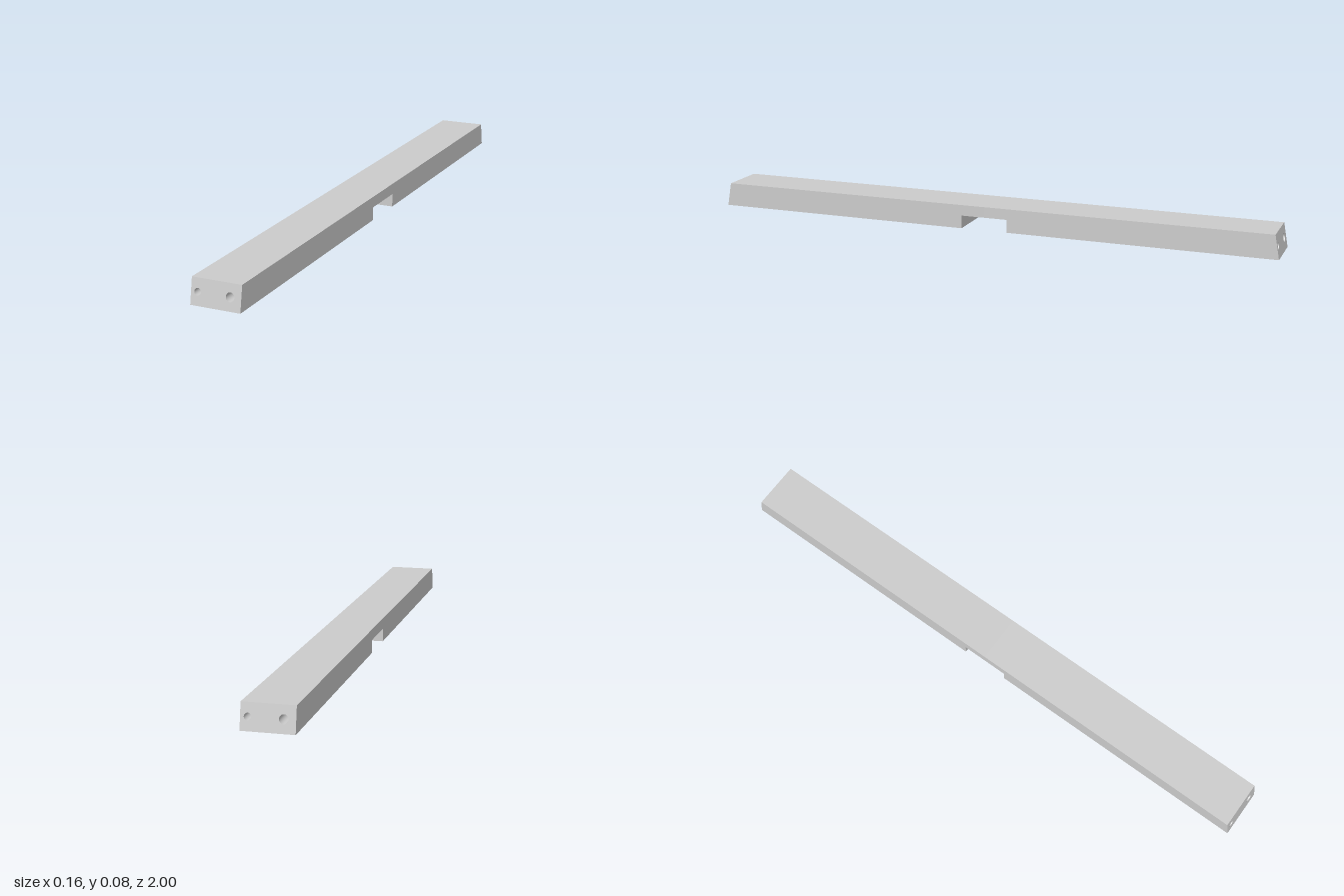
import * as THREE from 'three';

const W = 0.082, H = 0.082;              // half width, height
const NOTCH_Z = 0.082, NOTCH_Y = 0.045;  // half-lap notch under the middle
const HOLE_Y = 0.041;
const PIN = { x: -0.06, r: 0.011, z: 0.9 };            // blind pin hole in the end
const BOLT = { x: 0.046, r: 0.014 };                   // bolt hole in the end
const POCKET = { x: 0.046, z: 0.88, r: 0.025, h: 0.064 }; // nut pocket from below
const SEG = 48;
const endZ = (y) => 1 - 0.015 * y / H;   // sloping end

const material = new THREE.MeshStandardMaterial({ color: 0xcccccc, side: THREE.DoubleSide });

function mesh(name, geometry) {
  const m = new THREE.Mesh(geometry, material);
  m.name = name;
  return m;
}

// Flat face: a 2D shape placed in space by a rule
function panel(name, shape, place) {
  const g = new THREE.ShapeGeometry(shape, SEG / 2);
  const p = g.attributes.position;
  for (let i = 0; i < p.count; i++) p.setXYZ(i, ...place(p.getX(i), p.getY(i)));
  g.computeVertexNormals();
  return mesh(name, g);
}

// Curved face: a grid of points given by a rule of two parameters in 0..1
function surface(name, rule, ns, nt) {
  const pos = [], index = [];
  for (let j = 0; j <= nt; j++)
    for (let i = 0; i <= ns; i++) pos.push(...rule(i / ns, j / nt));
  for (let j = 0; j < nt; j++)
    for (let i = 0; i < ns; i++) {
      const a = j * (ns + 1) + i, b = a + ns + 1;
      index.push(a, b, a + 1, a + 1, b, b + 1);
    }
  const g = new THREE.BufferGeometry();
  g.setAttribute('position', new THREE.Float32BufferAttribute(pos, 3));
  g.setIndex(index);
  g.computeVertexNormals();
  return mesh(name, g);
}

const polygon = (pts) => new THREE.Shape(pts.map(([x, y]) => new THREE.Vector2(x, y)));
const rect = (x0, y0, x1, y1) => polygon([[x0, y0], [x1, y0], [x1, y1], [x0, y1]]);
const disc = (x, y, r, Type = THREE.Shape) => new Type().absarc(x, y, r, 0, Math.PI * 2);

function createHalf() {
  const half = new THREE.Group();
  half.name = 'beamHalf';

  // Side profile from the middle to the sloping end
  const profile = [[0, NOTCH_Y], [NOTCH_Z, NOTCH_Y], [NOTCH_Z, 0], [1, 0], [endZ(H), H], [0, H]];
  const bottom = rect(-W, NOTCH_Z, W, 1);
  bottom.holes.push(disc(POCKET.x, POCKET.z, POCKET.r, THREE.Path));
  const end = rect(-W, 0, W, H);
  for (const h of [PIN, BOLT]) end.holes.push(disc(h.x, HOLE_Y, h.r, THREE.Path));

  half.add(
    panel('rightSide', polygon(profile), (z, y) => [-W, y, z]),
    panel('leftSide', polygon(profile.map(([z, y]) => [-z, y])), (u, y) => [W, y, -u]),
    panel('topFace', rect(0, -W, endZ(H), W), (z, x) => [x, H, z]),
    panel('bottomFace', bottom, (x, z) => [x, 0, z]),
    panel('notchCeiling', rect(-W, 0, W, NOTCH_Z), (x, z) => [x, NOTCH_Y, z]),
    panel('notchWall', rect(0, -W, NOTCH_Y, W), (y, x) => [x, y, NOTCH_Z]),
    panel('endFace', end, (x, y) => [x, y, endZ(y)])
  );

  // Bores running in from the end
  const bore = (name, hole, innerZ) => surface(name, (s, t) => {
    const a = s * Math.PI * 2, dx = hole.r * Math.cos(a), y = HOLE_Y + hole.r * Math.sin(a);
    return [hole.x + dx, y, THREE.MathUtils.lerp(endZ(y), innerZ(dx), t)];
  }, SEG, 1);
  half.add(
    bore('pinHole', PIN, () => PIN.z),
    panel('pinHoleFloor', disc(PIN.x, HOLE_Y, PIN.r), (x, y) => [x, y, PIN.z]),
    bore('boltHole', BOLT, (dx) => POCKET.z + Math.sqrt(POCKET.r ** 2 - dx ** 2))
  );

  // Nut pocket: plain inner wall, and an outer wall opened by the bolt hole
  const onPocket = (phi, y) =>
    [POCKET.x + POCKET.r * Math.sin(phi), y, POCKET.z + POCKET.r * Math.cos(phi)];
  half.add(
    surface('pocketInnerWall', (s, t) =>
      onPocket(Math.PI * (1.5 - s), POCKET.h * t), SEG / 2, 1),
    surface('pocketOuterWall', (s, t) => {
      const a = s * Math.PI * 2, c = Math.cos(a), n = Math.sin(a);
      const k = 1 / Math.max(Math.abs(c), Math.abs(n));
      const phi0 = Math.asin(BOLT.r * c / POCKET.r), y0 = HOLE_Y + BOLT.r * n;
      const phi1 = c * k * Math.PI / 2;
      const y1 = HOLE_Y + n * k * (n > 0 ? POCKET.h - HOLE_Y : HOLE_Y);
      return onPocket(THREE.MathUtils.lerp(phi0, phi1, t), THREE.MathUtils.lerp(y0, y1, t));
    }, SEG, 8),
    panel('pocketCeiling', disc(POCKET.x, POCKET.z, POCKET.r), (x, z) => [x, POCKET.h, z])
  );
  return half;
}

export function createModel() {
  const model = new THREE.Group();
  model.name = 'notchedBeam';
  // The two halves match under a half turn about the vertical axis
  for (const turn of [0, Math.PI]) {
    const half = createHalf();
    half.rotation.y = turn;
    model.add(half);
  }
  return model;
}
